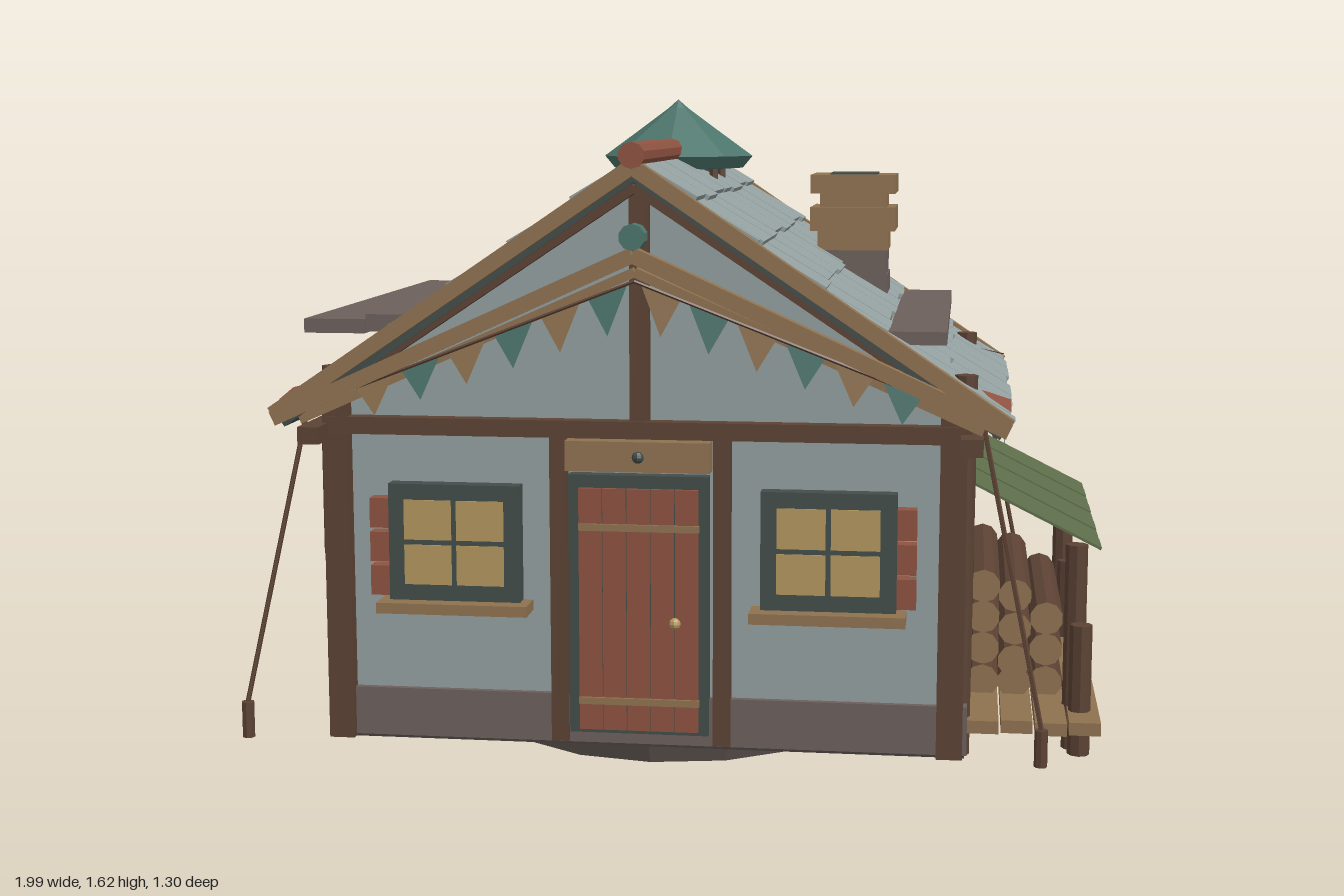
import * as THREE from 'three';

const M = {};
for (const [name, hex] of Object.entries({
  slate: 0x94a0a0, darkWood: 0x5c4234, taupe: 0x6c605c, tanWood: 0x8f7250, redWood: 0x8e5341,
  teal: 0x4c756c, darkFrame: 0x434d4a, canvasGreen: 0x5d6e4b, amber: 0xb3975f, charcoal: 0x443e3c,
})) {
  M[name] = new THREE.MeshStandardMaterial({ color: hex, flatShading: true });
  M[name].name = name;
}
const sheet = (m) => { const c = m.clone(); c.side = THREE.DoubleSide; c.name = m.name; return c; };
const flagMats = [sheet(M.teal), sheet(M.tanWood)], redSheet = sheet(M.redWood);

const CX = -0.065, RIDGE = 1.49, SLOPE = 0.69, ANG = Math.atan(SLOPE), LEN = 0.84 / Math.cos(ANG);

export function createModel() {
  const root = new THREE.Group();
  root.name = 'cottage';
  const add = (name, geo, mat, parent = root) => {
    const m = new THREE.Mesh(geo, mat);
    m.name = name;
    parent.add(m);
    return m;
  };
  // Box given by its limits
  const box = (name, mat, x0, x1, y0, y1, z0, z1, parent) => {
    const m = add(name, new THREE.BoxGeometry(x1 - x0, y1 - y0, z1 - z0), mat, parent);
    m.position.set((x0 + x1) / 2, (y0 + y1) / 2, (z0 + z1) / 2);
    return m;
  };
  // Round bar between two points
  const rod = (name, mat, a, b, r, n = 8, r2 = r) => {
    const A = new THREE.Vector3(...a), B = new THREE.Vector3(...b), d = B.clone().sub(A);
    const m = add(name, new THREE.CylinderGeometry(r2, r, d.length(), n), mat);
    m.position.copy(A).add(B).multiplyScalar(0.5);
    m.quaternion.setFromUnitVectors(new THREE.Vector3(0, 1, 0), d.normalize());
    return m;
  };
  // Sloping board seen from the gable, w = depth along z
  const board = (name, mat, x0, y0, x1, y1, t, z, w) => {
    const m = add(name, new THREE.BoxGeometry(Math.hypot(x1 - x0, y1 - y0), t, w), mat);
    m.position.set((x0 + x1) / 2, (y0 + y1) / 2, z);
    m.rotation.z = Math.atan2(y1 - y0, x1 - x0);
  };
  const triangle = (name, mat, pts) => {
    const g = new THREE.BufferGeometry();
    g.setAttribute('position', new THREE.Float32BufferAttribute(pts, 3));
    g.computeVertexNormals();
    add(name, g, mat);
  };
  const rope = (name, mat, pts, r) => add(name, new THREE.TubeGeometry(
    new THREE.CatmullRomCurve3(pts.map((p) => new THREE.Vector3(...p))), 16, r, 5), mat);

  // Walls with gables
  const wall = new THREE.Shape([[-0.785, 0.13], [0.655, 0.13], [0.655, 0.95], [CX, 1.44], [-0.785, 0.95]]
    .map((p) => new THREE.Vector2(...p)));
  add('walls', new THREE.ExtrudeGeometry(wall, { depth: 1.04, bevelEnabled: false }), M.slate).position.z = -0.52;
  box('skirting', M.taupe, -0.81, 0.69, 0.125, 0.24, -0.535, 0.535);
  box('floorPlate', M.charcoal, -0.805, 0.685, 0.118, 0.13, -0.53, 0.53);

  // Round base with a hanging ring
  add('baseDrum', new THREE.CylinderGeometry(0.495, 0.46, 0.062, 16), [M.taupe, M.charcoal, M.charcoal])
    .position.set(CX + 0.01, 0.089, 0);
  const ring = add('baseRing', new THREE.TorusGeometry(0.08, 0.011, 6, 14, Math.PI), M.tanWood);
  ring.rotation.z = Math.PI;
  ring.position.set(CX, 0.091, 0);

  // Roof: dark underlay and staggered slates on each side
  for (const s of [1, -1]) {
    const side = new THREE.Group();
    side.name = s > 0 ? 'roofLeft' : 'roofRight';
    side.position.set(CX, RIDGE, 0);
    side.rotation.set(0, s > 0 ? 0 : Math.PI, -ANG);
    root.add(side);
    box('roofUnderlay', M.darkFrame, 0, LEN, -0.045, -0.012, -0.62, 0.62, side);
    const rows = 6, step = LEN / rows;
    for (let r = 0; r < rows; r++) {
      let z = -0.62, i = 0;
      while (z < 0.6) {
        const w = r % 2 && i === 0 ? 0.1 : 0.18 + 0.035 * Math.sin(r * 5 + i * 3.7);
        const z1 = Math.min(0.62, z + w), over = 0.006 * Math.sin(i * 4.1 + r);
        const t = box('slate', M.slate, r * step - 0.006, (r + 1) * step + over, -0.014, 0.004, z, z1 - 0.007, side);
        t.rotation.z = 0.07;
        z = z1; i++;
      }
    }
  }
  rod('ridgePole', M.redWood, [CX, 1.495, -0.65], [CX, 1.495, 0.65], 0.03, 10);

  // Gable ends
  for (const f of [1, -1]) {
    const z = f * 0.63;
    for (const s of [1, -1]) {
      const ex = CX + s * 0.835;
      board('bargeboard', M.tanWood, ex, 0.905, CX, 1.47, 0.035, z, 0.035);
      board('upperRafter', M.darkWood, CX + s * 0.72, 0.945, CX, 1.425, 0.025, f * 0.6, 0.03);
      board('lowerBargeboard', M.tanWood, ex, 0.895, CX, 1.275, 0.035, z, 0.035);
      board('lowerRafter', M.tanWood, CX + s * 0.78, 0.89, CX, 1.235, 0.022, f * 0.6, 0.03);
      rod('bunting', M.darkWood, [CX + s * 0.7, 0.945, f * 0.615], [CX, 1.215, f * 0.615], 0.004, 5);
      // Pennants
      for (let i = 0; i < 6; i++) {
        const x = CX + s * (0.06 + i * 0.108), y = (d) => 1.215 - 0.386 * Math.abs(d - CX);
        const h = 0.09 - i * 0.004;
        triangle('pennant', flagMats[(i + (s > 0 ? 1 : 0)) % 2], [x - 0.045, y(x - 0.045), f * 0.615,
          x, y(x) - h - 0.01, f * 0.622, x + 0.045, y(x + 0.045), f * 0.615]);
      }
      // Wall posts and corner posts
      const jx = CX + s * 0.19;
      box('wallPost', M.darkWood, jx - 0.02, jx + 0.02, 0.13, 0.87, f * 0.53 - 0.02, f * 0.53 + 0.02);
      const px = CX + s * 0.715;
      box('cornerPost', M.darkWood, px - 0.03, px + 0.03, 0.12, 0.92, f * 0.53 - 0.025, f * 0.53 + 0.025);
      rod('throughPost', M.darkWood, [CX + s * 0.735, 0.115, f * 0.48], [CX + s * 0.74, 1, f * 0.48], 0.026);
      // Guy lines with weights
      const w = [CX + s * 0.92, 0.22, f * 0.625];
      rod('guyLine', M.darkWood, [CX + s * 0.775, 0.92, f * 0.56], w, 0.006, 5);
      rod('guyWeight', M.darkWood, [w[0], 0.135, w[2]], w, 0.015);
      // Red corner cloths on the eaves
      const k = CX + s * 0.84, j = CX + s * 0.76;
      triangle('cornerCloth', redSheet, [k, 0.93, f * 0.58, k, 0.945, f * 0.47, j, 0.965, f * 0.43]);
    }
    box('crossBeam', M.darkWood, -0.8, 0.69, 0.85, 0.89, f * 0.535 - 0.025, f * 0.535 + 0.025);
    box('kingPost', M.darkWood, CX - 0.022, CX + 0.022, 0.87, 1.42, f * 0.53 - 0.02, f * 0.53 + 0.02);
    rod('gableBoss', M.teal, [CX, 1.315, f * 0.6], [CX, 1.315, f * 0.65], 0.03, 10);
  }
  box('backPost', M.darkWood, CX - 0.02, CX + 0.02, 0.13, 0.87, -0.55, -0.51);
  for (const s of [1, -1]) {
    const x = CX + s * 0.755;
    box('eaveBeam', M.darkWood, x - 0.025, x + 0.025, 0.835, 0.875, -0.635, 0.635);
    for (let i = -2; i <= 2; i++)
      box('wallBatten', M.tanWood, CX + s * 0.725 - 0.012, CX + s * 0.725 + 0.012, 0.24, 0.88, i * 0.145 - 0.006, i * 0.145 + 0.006);
  }

  // Door
  box('doorFrame', M.darkFrame, -0.23, 0.095, 0.155, 0.765, 0.52, 0.555);
  for (let i = 0; i < 5; i++) box('doorPlank', M.redWood, -0.205 + i * 0.056, -0.152 + i * 0.056, 0.165, 0.735, 0.54, 0.565);
  for (const y of [0.235, 0.645]) box('doorStrap', M.tanWood, -0.205, 0.075, y - 0.008, y + 0.008, 0.56, 0.572);
  box('doorLintel', M.tanWood, -0.235, 0.1, 0.775, 0.845, 0.52, 0.57);
  add('lintelKnob', new THREE.SphereGeometry(0.014, 8, 6), M.darkFrame).position.set(CX, 0.81, 0.572);
  add('doorKnob', new THREE.SphereGeometry(0.014, 8, 6), M.amber).position.set(0.02, 0.425, 0.575);

  // Windows with sills and shutter slats
  for (const s of [1, -1]) {
    const x = CX + s * 0.435;
    box('windowFrame', M.darkFrame, x - 0.155, x + 0.155, 0.46, 0.735, 0.52, 0.56);
    for (const a of [-1, 1]) for (const b of [-1, 1])
      box('windowPane', M.amber, x + a * 0.062 - 0.056, x + a * 0.062 + 0.056, 0.598 + b * 0.053 - 0.047, 0.598 + b * 0.053 + 0.047, 0.557, 0.563);
    box('windowSill', M.tanWood, x - 0.178, x + 0.178, 0.435, 0.46, 0.52, 0.6);
    for (let i = 0; i < 3; i++)
      box('shutterSlat', M.redWood, x + s * 0.178 - 0.022, x + s * 0.178 + 0.022, 0.47 + i * 0.08, 0.54 + i * 0.08, 0.52, 0.56);
  }

  // Cupola
  add('cupolaRoof', new THREE.LatheGeometry([[0, 1.44], [0.165, 1.45], [0.19, 1.48], [0.1, 1.545], [0.025, 1.6], [0, 1.622]]
    .map((p) => new THREE.Vector2(...p)), 8), M.teal).position.set(CX, 0, -0.12);
  rod('cupolaNeck', M.darkFrame, [CX, 1.36, -0.12], [CX, 1.46, -0.12], 0.09);
  for (const a of [1, -1]) for (const b of [1, -1])
    rod('cupolaLeg', M.darkWood, [CX + a * 0.1, 1.38, -0.12 + b * 0.08], [CX + a * 0.1, 1.46, -0.12 + b * 0.08], 0.012, 6);

  // Chimney courses: half width, bottom, top
  for (const [w, a, b, mat] of [[0.09, 1.08, 1.18, M.taupe], [0.086, 1.18, 1.24, M.taupe], [0.09, 1.24, 1.29, M.tanWood],
    [0.108, 1.29, 1.35, M.tanWood], [0.085, 1.35, 1.385, M.tanWood], [0.108, 1.385, 1.432, M.tanWood]])
    box('chimneyCourse', mat, 0.38 - w, 0.38 + w, a, b, -0.238 - w, -0.238 + w);
  box('flueOpening', M.darkFrame, 0.32, 0.44, 1.43, 1.436, -0.298, -0.178);

  // Shelf boards set into the roof
  box('roofShelfLeft', M.taupe, 0.35, 0.495, 1.07, 1.103, -0.65, 0.515);
  box('roofShelfLeft', M.taupe, 0.498, 0.63, 1.07, 1.1, -0.65, 0.515);
  box('roofShelfRight', M.taupe, -0.86, -0.715, 1.08, 1.113, -0.65, 0.515);
  box('roofShelfRight', M.taupe, -0.712, -0.45, 1.085, 1.125, -0.65, 0.515);

  // Awning strips
  for (let i = 0; i < 8; i++) {
    const z = -0.43 + i * 0.1125;
    const m = add('awningStrip', new THREE.BoxGeometry(0.325, 0.006, 0.109), M.canvasGreen);
    m.position.set(0.845, 0.662 + (i % 2) * 0.003, z);
    m.rotation.z = -0.464;
  }
  // Side deck, its posts and a slack rope
  for (let i = 0; i < 4; i++) box('deckBoard', M.tanWood, 0.69 + i * 0.0775, 0.762 + i * 0.0775, 0.175, 0.205, -0.49, 0.52 - (i % 2) * 0.012);
  for (const [z, top] of [[0.35, 0.59], [-0.365, 0.59], [0.4, 0.41], [-0.325, 0.41], [-0.41, 0.41]])
    rod('deckPost', M.darkWood, [top > 0.5 ? 0.938 : 0.95, 0.1, z], [top > 0.5 ? 0.938 : 0.95, top, z], 0.026);
  rope('deckRope', M.tanWood, [[0.975, 0.385, 0.36], [0.975, 0.34, 0.1], [0.975, 0.33, 0], [0.975, 0.34, -0.1], [0.975, 0.385, -0.37]], 0.006);

  // Firewood
  for (let c = 0; c < 3; c++) for (let r = 0; r < (c < 2 ? 4 : 3); r++) {
    const x = 0.725 + c * 0.075, y = 0.235 + r * 0.078 - (c % 2) * 0.025 * (r > 0 ? 1 : 0), o = 0.012 * Math.sin(c * 3 + r * 5);
    const m = add('firewood', new THREE.CylinderGeometry(0.04, 0.04, 0.58, 10), [M.darkWood, M.tanWood, M.tanWood]);
    m.rotation.x = Math.PI / 2;
    m.position.set(x, y, -0.015 + o);
  }

  // Icicles under the left eave
  for (let i = 0; i < 22; i++) {
    const z = [0.33, 0.19, 0.01, -0.15, -0.28][i % 5] + (Math.floor(i / 5) - 2) * 0.018, h = 0.04 + 0.035 * Math.abs(Math.sin(i * 2.3));
    rod('icicle', M.slate, [0.765, 0.9 - h, z], [0.765, 0.905, z], 0.001, 5, 0.007);
  }

  // Trellis, moss and short log stakes on the right side
  for (let j = 0; j < 5; j++) {
    const pts = [];
    for (let i = 0; i <= 8; i++) pts.push([-0.83, 0.83 - j * 0.07 - 0.06 * Math.sin(Math.PI * i / 8), -0.48 + i * 0.12]);
    rope('trellisRail', M.darkWood, pts, 0.006);
  }
  for (let i = 0; i <= 12; i++) {
    const z = -0.48 + i * 0.08;
    rod('trellisBar', M.darkWood, [-0.83, 0.85, z], [-0.83, 0.55 - 0.06 * Math.sin(Math.PI * i / 12), z], 0.005, 5);
  }
  for (const [z, r] of [[-0.42, 0.035], [-0.36, 0.045], [-0.26, 0.03], [-0.1, 0.045], [-0.04, 0.03]]) {
    const m = add('moss', new THREE.IcosahedronGeometry(r, 1), M.canvasGreen);
    m.scale.y = 0.45;
    m.rotation.z = ANG;
    m.position.set(-0.875, 0.94, z);
  }
  [0.18, 0.15, 0.19, 0.16].forEach((h, i) => {
    const m = add('logStake', new THREE.CylinderGeometry(0.03, 0.03, h, 8), [M.darkWood, M.tanWood, M.darkWood]);
    m.position.set(-0.858, 0.11 + h / 2, -0.2 + i * 0.1);
  });

  // Lantern on the back wall
  add('backLantern', new THREE.LatheGeometry([[0, 0.57], [0.045, 0.575], [0.05, 0.73], [0.035, 0.77], [0.012, 0.8], [0, 0.8]]
    .map((p) => new THREE.Vector2(...p)), 10), M.teal).position.set(-0.14, 0, -0.53);
  return root;
}
